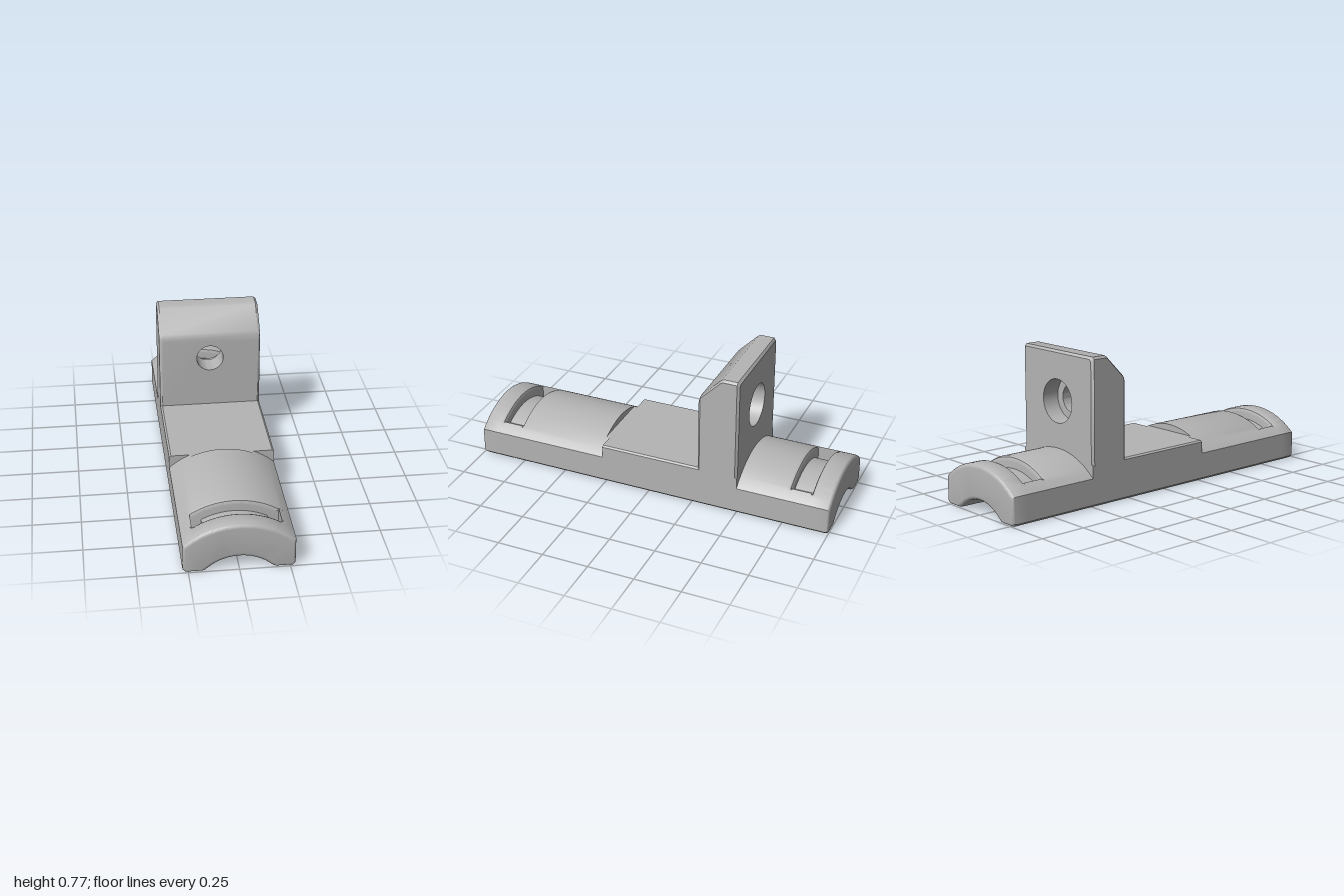
import * as THREE from 'three';
import { toCreasedNormals } from 'three/addons/utils/BufferGeometryUtils.js';

const W = 0.277;               // half width
const CY = -0.157;             // shared centre height of both arcs
const RO = 0.413, RI = 0.229;  // outer and inner arc radii
const SLOT_IN = 0.165, SLOT_OUT = 0.222, SLOT_Z0 = 0.78, SLOT_Z1 = 0.888;
const DECK = 0.22;             // height of the flat deck
const CH = 0.012;              // edge chamfer

const steel = new THREE.MeshStandardMaterial({ color: 0xb4b4b4, side: THREE.DoubleSide });
steel.name = 'grey metal';

const v2 = (x, y) => new THREE.Vector2(x, y);

// Points on an arc around the shared centre, from x = x0 to x = x1
function arc(r, x0, x1, n = 40) {
  const a0 = Math.asin(x0 / r), a1 = Math.asin(x1 / r);
  return Array.from({ length: n + 1 }, (_, i) => {
    const a = a0 + (a1 - a0) * i / n;
    return v2(r * Math.sin(a), CY + r * Math.cos(a));
  });
}

// Solid through anticlockwise outlines [z, points]; caps may have round holes
function loft(rings, holeStart = [], holeEnd = []) {
  const pos = [];
  const put = (p, z) => pos.push(p.x, p.y, z);
  for (let k = 0; k + 1 < rings.length; k++) {
    const [za, a] = rings[k], [zb, b] = rings[k + 1];
    a.forEach((p, i) => {
      const j = (i + 1) % a.length;
      put(p, za); put(a[j], za); put(b[j], zb);
      put(p, za); put(b[j], zb); put(b[i], zb);
    });
  }
  const cap = ([z, pts], hole, flip) => {
    const all = [...pts, ...hole];
    for (const f of THREE.ShapeUtils.triangulateShape(pts, hole.length ? [hole] : [])) {
      (flip ? [f[0], f[2], f[1]] : f).forEach(i => put(all[i], z));
    }
  };
  cap(rings[0], holeStart, true);
  cap(rings[rings.length - 1], holeEnd, false);
  const g = new THREE.BufferGeometry();
  g.setAttribute('position', new THREE.Float32BufferAttribute(pos, 3));
  return toCreasedNormals(g, 0.6);
}

function add(parent, name, geometry) {
  const m = new THREE.Mesh(geometry, steel);
  m.name = name;
  parent.add(m);
  return m;
}

// Underside: right foot and side, then (after the given top) left foot and hollow
function outline(top, e = 0) {
  const w = W - 0.6 * e, b = 0.6 * e;
  return [
    v2(0.168 + 0.5 * e, b + 0.003), v2(0.18 + 0.5 * e, b), v2(w - CH, b), v2(w, b + CH),
    ...top,
    v2(-w, b + CH), v2(CH - w, b), v2(-0.18 - 0.5 * e, b), v2(-0.168 - 0.5 * e, b + 0.003),
    ...arc(RI + e, -0.1545, 0.1545, 32),
  ];
}

// Arched section; e insets the whole outline, cut lowers the top along the slot
function arched(e = 0, cut = 0) {
  const w = W - 0.6 * e;
  const top = arc(RO - e, w, -w, 50).map(p => {
    if (Math.abs(p.x) > SLOT_OUT) return p;
    const s = (RO - e - cut) / (RO - e);
    return v2(p.x * s, CY + (p.y - CY) * s);
  });
  return outline(top, e);
}

// Arched saddle from zInner to the end, with a strap slot across it
function saddle(zInner) {
  const g = new THREE.Group();
  const R = 0.02;
  add(g, 'saddleBody', loft([
    [zInner, arched()], [SLOT_Z0 - R, arched()],
    [SLOT_Z0 - 0.006, arched(0, 0.006)], [SLOT_Z0, arched(0, R)],
  ]));
  const endRings = [[SLOT_Z1, arched(0, R)], [SLOT_Z1 + 0.006, arched(0, 0.006)], [SLOT_Z1 + R, arched()]];
  for (let i = 0; i <= 4; i++) {
    const a = i / 4 * Math.PI / 2;
    endRings.push([1 - R + R * Math.sin(a), arched(R * (1 - Math.cos(a)))]);
  }
  add(g, 'saddleEnd', loft(endRings));

  // Slot floor between the strap holes
  const floor = [
    v2(SLOT_IN, 0.003), ...arc(RO - 0.06, SLOT_IN, -SLOT_IN, 32),
    v2(-SLOT_IN, 0.003), ...arc(RI, -0.1545, 0.1545, 32),
  ];
  add(g, 'slotFloor', loft([[SLOT_Z0, floor], [SLOT_Z1, floor]]));

  // Side walls outside the strap holes
  const wall = [v2(SLOT_OUT, 0), v2(W - CH, 0), v2(W, CH), ...arc(RO, W, SLOT_OUT, 6)];
  const mirrored = wall.map(p => v2(-p.x, p.y)).reverse();
  for (const [name, pts] of [['leftSlotWall', wall], ['rightSlotWall', mirrored]]) {
    add(g, name, loft([[SLOT_Z0, pts], [SLOT_Z1, pts]]));
  }
  return g;
}

// Upright plate outline
function plateOutline(top, e = 0) {
  const w = W - e, t = top - e;
  return [v2(-w, 0.212), v2(w, 0.212), v2(w, t - CH), v2(w - CH, t), v2(CH - w, t), v2(-w, t - CH)];
}

const circle = (r, y, n = 48) => Array.from({ length: n }, (_, i) => {
  const a = -i / n * Math.PI * 2;
  return v2(r * Math.sin(a), y + r * Math.cos(a));
});

export function createModel() {
  const model = new THREE.Group();
  model.name = 'strapMountBracket';

  // Arched saddles at both ends
  const front = saddle(0.285);
  front.name = 'frontSaddle';
  const back = saddle(0.5);
  back.name = 'backSaddle';
  back.rotation.y = Math.PI;
  model.add(front, back);

  // Flat deck, and the short clipped arch where it meets the front saddle
  const deck = outline([v2(W, DECK - 0.008), v2(W - 0.01, DECK), v2(0.01 - W, DECK), v2(-W, DECK - 0.008)]);
  add(model, 'deck', loft([[-0.5, deck], [0.265, deck]]));
  const step = outline(arc(RO, W, -W, 50).map(p => v2(p.x, Math.min(p.y, DECK))));
  add(model, 'deckStep', loft([[0.265, step], [0.285, step]]));

  // Upright plate with a sloped front top edge
  const holeY = 0.503, rHole = 0.073, rBore = 0.115;
  add(model, 'uprightPlate', loft([
    [-0.5, plateOutline(0.766, CH)],
    [-0.488, plateOutline(0.766)],
    [-0.412, plateOutline(0.766)],
    [-0.4, plateOutline(0.759)],
    [-0.292, plateOutline(0.65)],
    [-0.285, plateOutline(0.638, 0.005)],
    [-0.28, plateOutline(0.625, CH)],
  ], circle(rBore, holeY), circle(rHole, holeY)));

  // Bolt hole, counterbored from the back
  const bore = new THREE.LatheGeometry(
    [v2(rHole, -0.28), v2(rHole, -0.405), v2(rBore, -0.405), v2(rBore, -0.5)], 48);
  bore.rotateX(Math.PI / 2);
  add(model, 'boltHole', toCreasedNormals(bore, 0.6)).position.y = holeY;

  return model;
}
